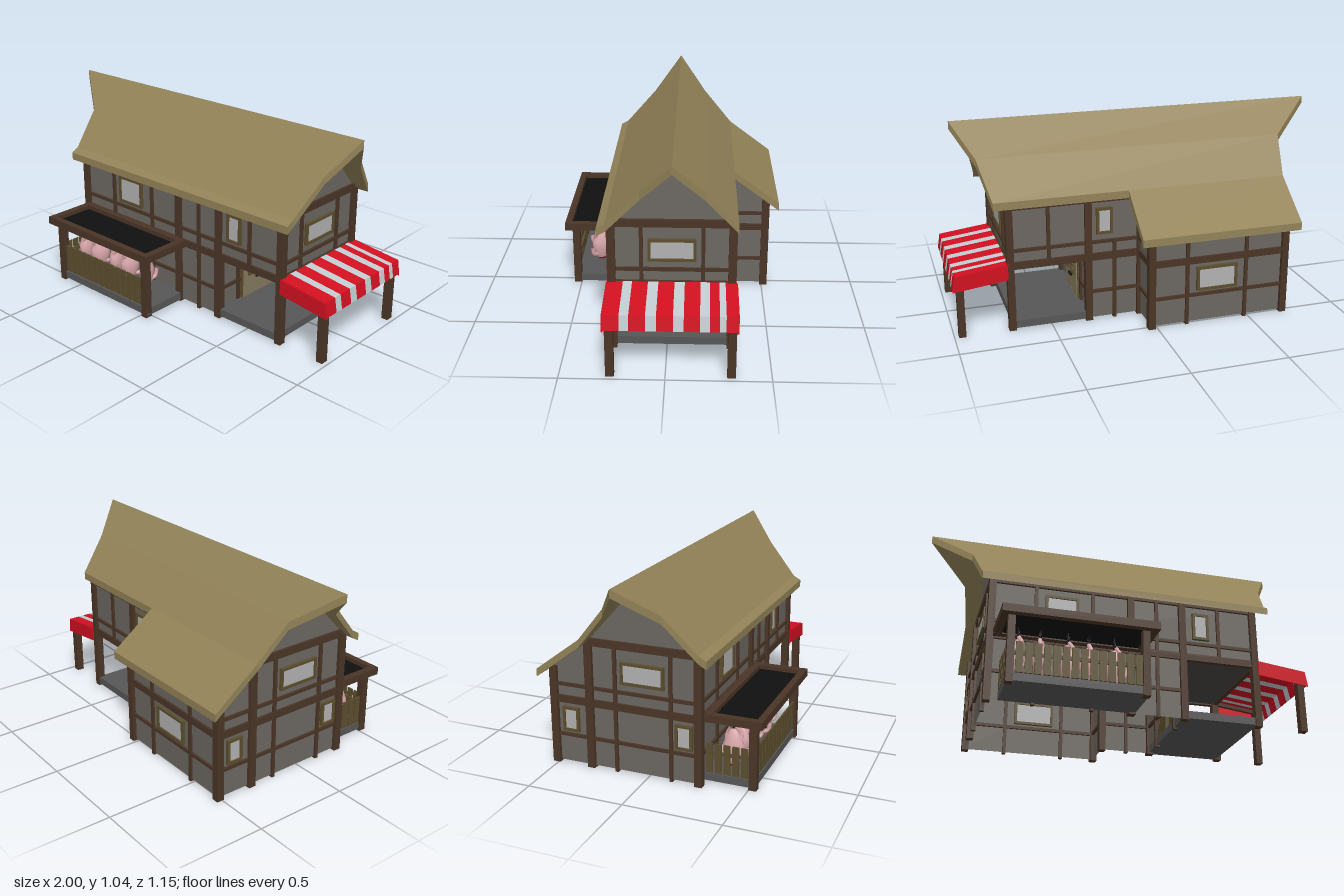
import * as THREE from 'three';

const paint = (color, side = THREE.FrontSide) =>
  new THREE.MeshStandardMaterial({ color, side, flatShading: true });

export function createModel() {
  const house = new THREE.Group();
  house.name = 'timberHouse';
  const timber = paint(0x4a3526), thatch = paint(0x938358, THREE.DoubleSide), stone = paint(0x575757);
  const plaster = paint(0x6c6761, THREE.DoubleSide), frameMat = paint(0x5c4f2e), glass = paint(0xb2b2b2);
  const doorMat = paint(0x867c60), black = paint(0x101010), red = paint(0xd21020, THREE.DoubleSide);
  const white = paint(0xc3cdd1, THREE.DoubleSide), meat = paint(0xdba9ad), cut = paint(0x6a2026);
  meat.flatShading = false;

  const add = (name, geo, mat, parent = house) => {
    const m = new THREE.Mesh(geo, mat);
    m.name = name;
    parent.add(m);
    return m;
  };
  // Box given by its limits on each axis
  const box = (name, mat, x0, x1, y0, y1, z0, z1) => {
    const m = add(name, new THREE.BoxGeometry(x1 - x0, y1 - y0, z1 - z0), mat);
    m.position.set((x0 + x1) / 2, (y0 + y1) / 2, (z0 + z1) / 2);
    return m;
  };
  const polygon = pts => new THREE.Shape(pts.map(p => new THREE.Vector2(...p)));
  // Flat walls: across x at a given z, or across z at a given x
  const wallZ = (name, z, pts) => { add(name, new THREE.ShapeGeometry(polygon(pts)), plaster).position.z = z; };
  const wallX = (name, x, pts) => {
    const m = add(name, new THREE.ShapeGeometry(polygon(pts)), plaster);
    m.rotation.y = -Math.PI / 2;
    m.position.x = x;
  };
  const rect = (a, b, y0, y1) => [[a, y0], [b, y0], [b, y1], [a, y1]];

  // Walls
  const F = 0.265, B = -0.315, S = -0.51, L = -0.695, R = 0.705, P = 0.305, E = 0.03;
  wallZ('frontLowerWall', F, rect(L, P, 0.01, 0.35));
  wallZ('frontUpperWall', F, rect(L, R, 0.35, 0.67));
  wallZ('backLowerWall', B, rect(E, P, 0.01, 0.35));
  wallZ('backUpperWall', B, rect(E, R, 0.35, 0.67));
  wallZ('shedBackWall', S, rect(L, E, 0.01, 0.52));
  wallX('shedSideWall', E, [[S, 0.01], [B, 0.01], [B, 0.66], [S, 0.52]]);
  wallX('porchWall', P, rect(B, F, 0.01, 0.35));
  wallX('rightGable', R, [[B, 0.35], [F, 0.35], [F, 0.67], [-0.03, 0.99], [B, 0.67]]);
  wallX('leftGable', L, [[S, 0.01], [F, 0.01], [F, 0.67], [-0.03, 0.99], [B, 0.67], [S, 0.52]]);

  // Corner posts
  const post = (x, z, top, bottom = 0) =>
    box('post', timber, x - 0.018, x + 0.018, bottom, top, z - 0.02, z + 0.02);
  for (const x of [L, 0.027, 0.307, 0.707]) post(x, F, 0.67);
  for (const x of [E, P, R]) post(x, -0.312, 0.67);
  post(L, -0.312, 0.67);
  post(L, S, 0.52);
  post(E, S, 0.52);

  // Beams and studs along each wall
  const t = 0.012;
  const beamZ = (z, x0, x1, y0, y1) => box('beam', timber, x0, x1, y0, y1, z - t, z + t);
  const beamX = (x, z0, z1, y0, y1) => box('beam', timber, x - t, x + t, y0, y1, z0, z1);
  for (const [y0, y1] of [[0.42, 0.437], [0.33, 0.368], [0.64, 0.67]]) {
    beamZ(F, L, R, y0, y1);
    beamZ(B, E, R, y0, y1);
  }
  beamZ(F, L, P, 0.15, 0.167);
  beamZ(B, E, P, 0.15, 0.167);
  for (const x of [-0.47, -0.175, 0.168]) beamZ(F, x - 0.009, x + 0.009, 0, 0.65);
  beamZ(F, 0.5, 0.518, 0.35, 0.65);
  beamZ(B, 0.159, 0.177, 0, 0.42);
  beamZ(B, 0.5, 0.518, 0.35, 0.65);
  for (const [y0, y1] of [[0.15, 0.167], [0.33, 0.365], [0.49, 0.52]]) beamZ(S, L, E, y0, y1);
  for (const x of [-0.48, -0.16]) beamZ(S, x - 0.009, x + 0.009, 0, 0.5);
  for (const x of [L, R]) {
    const z0 = x === L ? S : B;
    beamX(x, z0, F, 0.42, 0.437);
    beamX(x, z0, F, 0.33, 0.368);
    beamX(x, B, F, 0.648, 0.688);
  }
  beamX(L, S, F, 0.15, 0.167);
  beamX(P, B, F, 0.15, 0.167);
  beamX(E, S, B, 0.15, 0.167);
  beamX(E, S, B, 0.33, 0.365);
  beamX(E, S, B, 0.42, 0.437);
  for (const z of [0.122, -0.172]) {
    beamX(L, z - 0.009, z + 0.009, 0, 0.66);
    beamX(R, z - 0.009, z + 0.009, 0.35, 0.66);
    beamX(P, z - 0.009, z + 0.009, 0, 0.35);
  }

  // Windows: pane with a four-sided frame; turned to face along x if asked
  const windowAt = (x, y, z, w, h, turned = false, bar = 0.014) => {
    const g = new THREE.Group();
    g.name = 'window';
    add('pane', new THREE.BoxGeometry(w - bar, h - bar, 0.018), glass, g);
    for (const s of [-1, 1]) {
      add('frameSide', new THREE.BoxGeometry(bar, h, 0.032), frameMat, g).position.x = s * (w - bar) / 2;
      add('frameRail', new THREE.BoxGeometry(w, bar, 0.032), frameMat, g).position.y = s * (h - bar) / 2;
    }
    g.position.set(x, y, z);
    if (turned) g.rotation.y = Math.PI / 2;
    house.add(g);
  };
  windowAt(-0.335, 0.528, F, 0.175, 0.15);
  windowAt(0.41, 0.528, F, 0.09, 0.15);
  windowAt(0.22, 0.54, B, 0.085, 0.14);
  windowAt(-0.32, 0.245, S, 0.22, 0.13);
  for (const x of [L, R]) windowAt(x, 0.53, -0.025, 0.23, 0.115, true);
  windowAt(L, 0.245, 0.19, 0.09, 0.13, true);
  windowAt(L, 0.245, -0.42, 0.09, 0.13, true);

  // Porch floor, ceiling and double door
  box('porchFloor', stone, 0.3, 0.7, 0.01, 0.05, -0.325, 0.275);
  box('porchCeiling', paint(0x4a4845), 0.3, 0.7, 0.338, 0.348, -0.31, 0.26);
  box('doorFrame', frameMat, P, P + 0.016, 0.05, 0.262, -0.152, 0.102);
  for (const s of [-1, 1]) {
    const c = -0.025 + s * 0.059;
    box('doorLeaf', doorMat, P, P + 0.022, 0.05, 0.253, c - 0.057, c + 0.057);
    windowAt(P + 0.015, 0.196, c, 0.056, 0.056, true, 0.009);
    box('doorKnob', black, P, P + 0.032, 0.138, 0.15, -0.031 + s * 0.016, -0.019 + s * 0.016);
  }

  // Thatched roof: lofted through stations [z, y, left x, right x]
  const roof = (name, stations, thick = 0.04) => {
    const rings = stations.map(([z, y, l, r]) =>
      [[l, y, z], [r, y, z], [r, y - thick, z], [l, y - thick, z]]);
    const v = [];
    const quad = (a, b, c, d) => v.push(...a, ...b, ...c, ...a, ...c, ...d);
    for (let i = 0; i + 1 < rings.length; i++)
      for (let k = 0; k < 4; k++) {
        const n = (k + 1) % 4;
        quad(rings[i][k], rings[i][n], rings[i + 1][n], rings[i + 1][k]);
      }
    const f = rings[0], e = rings[rings.length - 1];
    quad(f[0], f[3], f[2], f[1]);
    quad(...e);
    const g = new THREE.BufferGeometry();
    g.setAttribute('position', new THREE.Float32BufferAttribute(v, 3));
    g.computeVertexNormals();
    add(name, g, thatch);
  };
  roof('mainRoof', [[0.325, 0.668, -0.755, 0.78], [0.285, 0.69, -0.755, 0.78], [0.12, 0.871, -0.79, 0.83],
    [-0.03, 1.036, -1, 0.935], [-0.18, 0.871, -0.79, 0.83], [-0.335, 0.69, -0.755, 0.78]]);
  roof('shedRoof', [[-0.335, 0.69, -0.755, 0.095], [-0.575, 0.51, -0.755, 0.095]]);

  // Front stall: floor, posts, framed flat cover
  box('stallFloor', stone, -0.64, 0.045, 0.01, 0.05, F, 0.53);
  for (const x of [-0.63, 0.027]) post(x, 0.52, 0.34);
  box('stallCover', black, -0.66, 0.07, 0.343, 0.353, F, 0.56);
  for (const z of [0.285, 0.54]) box('coverBeam', timber, -0.682, 0.09, 0.336, 0.376, z, z + 0.034);
  for (const x of [-0.682, 0.052]) box('coverBeam', timber, x, x + 0.038, 0.337, 0.375, 0.287, 0.572);

  // Picket fence on the front and left of the stall
  box('fenceRail', frameMat, -0.62, 0.02, 0.148, 0.165, 0.508, 0.518);
  box('fenceRail', frameMat, -0.634, -0.624, 0.148, 0.165, 0.28, 0.52);
  for (let i = 0; i < 14; i++) {
    const x = -0.603 + i * 0.0445;
    box('picket', frameMat, x, x + 0.034, 0.055, 0.21, 0.518, 0.527);
  }
  for (let i = 0; i < 5; i++) {
    const z = 0.28 + i * 0.0447;
    box('picket', frameMat, -0.642, -0.634, 0.055, 0.21, z, z + 0.034);
  }

  // Hanging carcasses on hooks
  const profile = [[0.001, 0], [0.018, -0.004], [0.034, -0.04], [0.054, -0.085], [0.052, -0.125], [0.036, -0.165], [0.024, -0.185]]
    .map(p => new THREE.Vector2(...p)).reverse();
  const limb = pts => new THREE.TubeGeometry(
    new THREE.CatmullRomCurve3(pts.map(p => new THREE.Vector3(...p))), 8, 0.011, 7);
  [-0.575, -0.465, -0.33, -0.225, -0.095].forEach((x, i) => {
    const g = new THREE.Group();
    g.name = 'hangingMeat';
    add('body', new THREE.LatheGeometry(profile, 14), meat, g).scale.x = 0.65;
    add('neckCut', new THREE.CylinderGeometry(0.024, 0.02, 0.008, 12), cut, g).position.y = -0.186;
    for (const s of [-1, 1]) {
      add('foreleg', limb([[0.01, -0.16, s * 0.03], [0.025, -0.15, s * 0.055], [0.03, -0.105, s * 0.064]]), meat, g);
      add('hindLeg', limb([[0, -0.07, s * 0.035], [0.012, -0.03, s * 0.032], [0, 0.008, s * 0.012]]), meat, g);
    }
    add('hook', new THREE.CylinderGeometry(0.003, 0.003, 0.07, 6), black, g).position.y = 0.03;
    for (let k = 0; k < 3; k++) {
      const link = add('chainLink', new THREE.TorusGeometry(0.008, 0.003, 5, 10), black, g);
      link.position.y = 0.01 + k * 0.016;
      link.rotation.y = k * Math.PI / 2;
    }
    g.position.set(x, 0.277, 0.397);
    g.rotation.y = [0.1, -0.5, 0.3, -0.25, 0.4][i];
    house.add(g);
  });

  // Striped awning with side flaps and posts
  const canopy = polygon([[0.715, 0.365], [0.985, 0.332], [0.998, 0.258], [0.99, 0.258], [0.976, 0.324], [0.715, 0.356]]);
  const edges = [0.285, 0.21, 0.166, 0.09, 0.04, -0.037, -0.086, -0.16, -0.205, -0.25, -0.28, -0.335];
  for (let i = 0; i + 1 < edges.length; i++) {
    const geo = new THREE.ExtrudeGeometry(canopy, { depth: edges[i] - edges[i + 1], bevelEnabled: false });
    add('awningStripe', geo, i % 2 ? white : red).position.z = edges[i + 1];
  }
  const flap = polygon([[0.72, 0.363], [0.985, 0.331], [0.998, 0.25], [0.72, 0.284]]);
  for (const z of [0.283, -0.339])
    add('awningFlap', new THREE.ExtrudeGeometry(flap, { depth: 0.008, bevelEnabled: false }), red).position.z = z;
  for (const z of [0.26, -0.31]) {
    post(0.96, z, 0.325);
    const arm = box('awningArm', timber, 0.71, 0.97, 0.318, 0.338, z - 0.01, z + 0.01);
    arm.rotation.z = -0.125;
  }
  return house;
}
